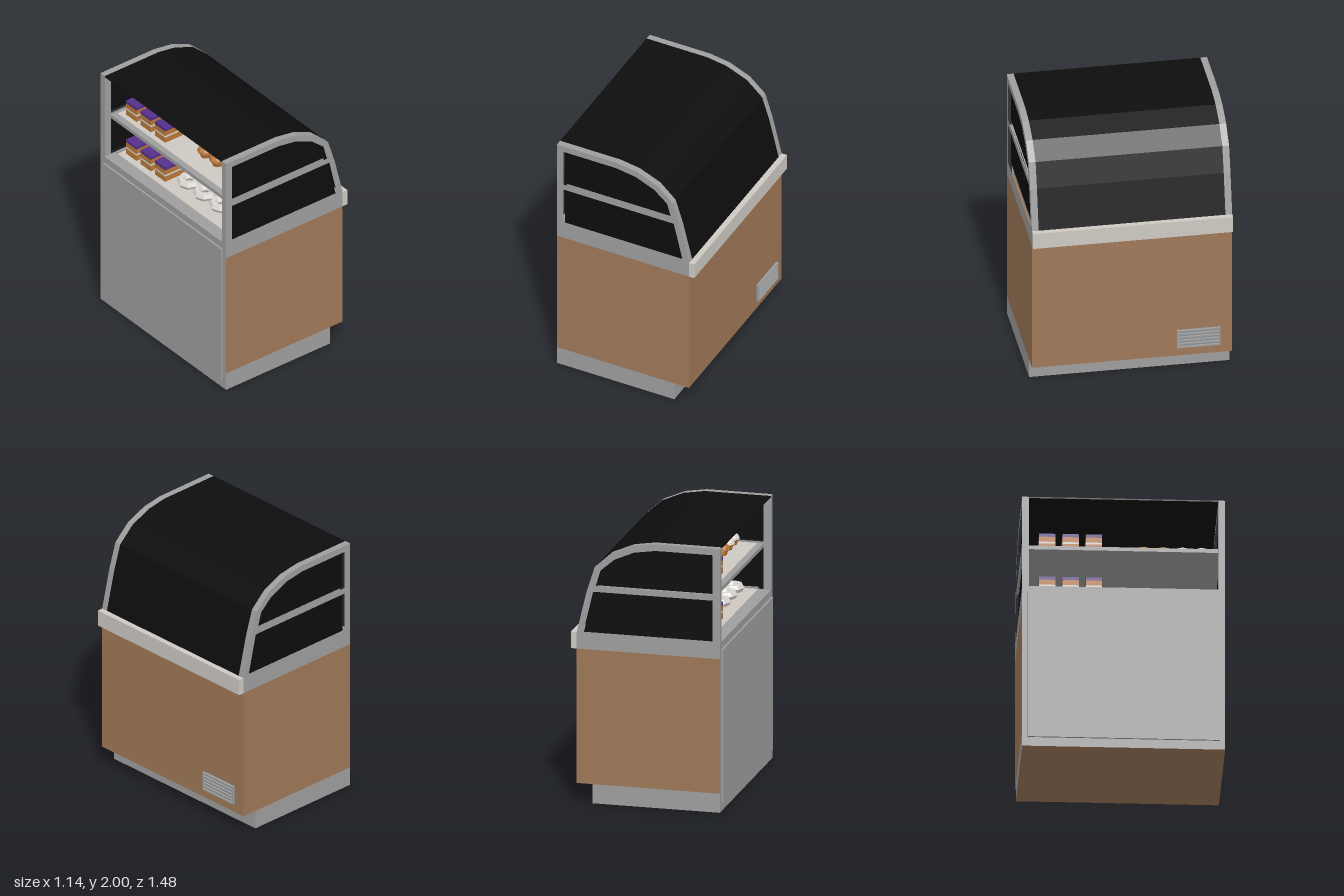
import * as THREE from 'three';

const mat = (name, color, extra = {}) => {
  const m = new THREE.MeshStandardMaterial({ color, ...extra });
  m.name = name;
  return m;
};

export function createModel() {
  const root = new THREE.Group();
  root.name = 'displayCabinet';

  const metal = mat('grey metal', 0x9e9e9e);
  const wood = mat('brown panel', 0x9f7858);
  const glass = mat('dark glass', 0x0d0d0d);
  const cream = mat('cream trim', 0xcdc9c2);
  const steel = mat('vent steel', 0x868d94);
  const pastry = mat('baked pastry', 0xb9773a);
  const purple = mat('purple icing', 0x55308a);
  const icing = mat('white icing', 0xd9d6d0);
  for (const m of [pastry, icing]) m.flatShading = true;

  const add = (name, geo, material, x = 0, y = 0, z = 0, parent = root) => {
    const m = new THREE.Mesh(geo, material);
    m.name = name;
    m.position.set(x, y, z);
    parent.add(m);
    return m;
  };
  // box given by its limits on each axis
  const box = (name, material, x0, x1, y0, y1, z0, z1, parent = root) =>
    add(name, new THREE.BoxGeometry(x1 - x0, y1 - y0, z1 - z0), material,
      (x0 + x1) / 2, (y0 + y1) / 2, (z0 + z1) / 2, parent);
  const poly = (pts, Type = THREE.Shape) => new Type(pts.map(p => new THREE.Vector2(...p)));
  const extrude = (shape, depth) => new THREE.ExtrudeGeometry(shape, { depth, bevelEnabled: false });

  // lower cabinet: the service side is metal, the other sides brown
  box('base', [metal, metal, metal, wood, metal, metal], -0.555, 0.405, 0, 0.145, -0.74, 0.74);
  box('body', [wood, metal, wood, wood, wood, wood], -0.555, 0.525, 0.145, 1.165, -0.74, 0.74);
  box('servicePanel', metal, -0.57, -0.555, 0.07, 1.23, -0.7, 0.7);
  box('counterTrim', cream, 0.525, 0.568, 1.165, 1.29, -0.74, 0.74);
  box('deck', metal, -0.555, 0.525, 1.165, 1.285, -0.69, 0.69);

  // curved side frames with two windows each
  const curve = [[-0.555, 2], [-0.06, 2], [0.1, 1.975], [0.265, 1.905], [0.39, 1.79], [0.45, 1.6], [0.525, 1.29]];
  const upper = [[-0.5, 1.95], [-0.07, 1.95], [0.09, 1.925], [0.24, 1.86], [0.345, 1.77], [0.38, 1.65], [-0.5, 1.65]];
  const lower = [[-0.5, 1.605], [0.4, 1.605], [0.475, 1.29], [-0.5, 1.29]];
  const frame = poly([...curve, [0.525, 1.165], [-0.555, 1.165]]);
  frame.holes.push(poly(upper, THREE.Path), poly(lower, THREE.Path));
  for (const [side, z] of [['left', 0.69], ['right', -0.74]]) {
    add(side + 'SideFrame', extrude(frame, 0.05), metal, 0, 0, z);
    for (const [part, pts] of [['Upper', upper], ['Lower', lower]])
      add(side + part + 'Window', extrude(poly(pts), 0.008), glass, 0, 0, z + 0.021);
  }

  // bent glass canopy between the frames
  const inner = curve.map(([x, y], i) => [i ? x - 0.01 : x, i < 6 ? y - 0.01 : y]).reverse();
  add('curvedGlass', extrude(poly([...curve, ...inner]), 1.38), glass, 0, 0, -0.69);

  // shelf and trays
  box('upperShelf', metal, -0.5, 0.385, 1.605, 1.635, -0.69, 0.69);
  box('upperTray', cream, -0.46, 0.35, 1.635, 1.645, -0.66, 0.66);
  box('lowerTray', cream, -0.47, 0.42, 1.285, 1.3, -0.66, 0.66);
  for (const s of [-1, 1]) {
    box('trayRim', metal, -0.47, 0.42, 1.3, 1.312, s * 0.655 - 0.008, s * 0.655 + 0.008);
  }

  // ventilation grille
  const vent = new THREE.Group();
  vent.name = 'ventGrille';
  root.add(vent);
  box('ventBack', steel, 0.525, 0.532, 0.215, 0.36, -0.65, -0.33, vent);
  for (const z of [-0.65, -0.338]) box('ventSide', metal, 0.532, 0.546, 0.215, 0.36, z, z + 0.008, vent);
  for (let i = 0; i < 6; i++) {
    const y = 0.215 + i * 0.0268;
    box('ventSlat', metal, 0.532, 0.546, y, y + 0.011, -0.642, -0.338, vent);
  }

  // ring pastries on the lower tray
  const ring = new THREE.TorusGeometry(0.062, 0.032, 6, 8).rotateX(Math.PI / 2);
  for (const x of [-0.3, -0.07, 0.16])
    for (let i = 0; i < 4; i++) add('ringPastry', ring, icing, x, 1.33, -0.02 + i * 0.19);

  // layered cake slices
  const cake = (x, y, z) => {
    const g = new THREE.Group();
    g.name = 'cakeSlice';
    g.position.set(x, y, z);
    root.add(g);
    const layers = [[pastry, 0, 0.045], [icing, 0.045, 0.06], [pastry, 0.06, 0.1], [purple, 0.1, 0.125]];
    for (const [m, y0, y1] of layers) box('cakeLayer', m, -0.09, 0.09, y0, y1, -0.06, 0.06, g);
  };
  for (const x of [-0.33, -0.08, 0.17])
    for (const z of [-0.55, -0.38, -0.21]) {
      cake(x, 1.3, z);
      if (x < 0.1) cake(x, 1.645, z);
    }

  // muffins on the upper shelf
  const cup = new THREE.CylinderGeometry(0.055, 0.038, 0.05, 8);
  const dome = new THREE.SphereGeometry(0.062, 8, 4, 0, Math.PI * 2, 0, Math.PI / 2);
  for (const x of [-0.29, -0.06])
    for (let i = 0; i < 4; i++) {
      const z = 0.16 + i * 0.14;
      add('muffinCup', cup, pastry, x, 1.67, z);
      add('muffinTop', dome, i < 2 ? pastry : icing, x, 1.69, z).scale.y = 0.7;
    }

  return root;
}
